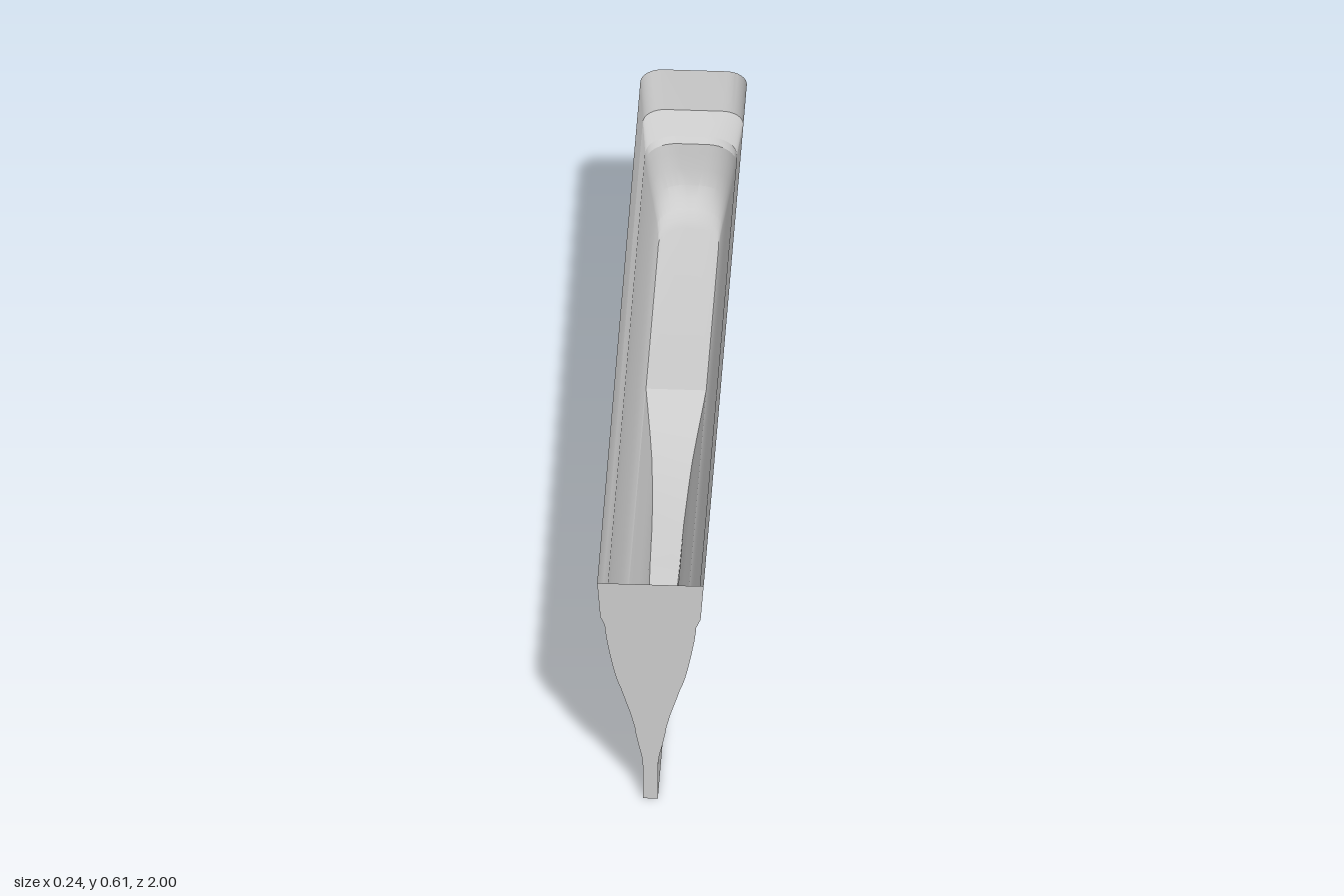
import * as THREE from 'three';
import { toCreasedNormals } from 'three/addons/utils/BufferGeometryUtils.js';

// Levels from keel to rim: [height, half width, rear end z, rear corner radius]
const LEVELS = [
  [0, 0.017, 0.64, 0], [0.02, 0.017, 0.655, 0], [0.05, 0.017, 0.67, 0],
  [0.08, 0.017, 0.676, 0], [0.105, 0.018, 0.67, 0], [0.125, 0.021, 0.64, 0],
  [0.15, 0.027, 0.57, 0], [0.17, 0.031, 0.46, 0], [0.185, 0.034, 0.34, 0],
  [0.2, 0.036, 0.21, 0], [0.22, 0.041, 0.1, 0], [0.24, 0.046, 0.02, 0],
  [0.265, 0.054, -0.05, 0], [0.29, 0.062, -0.11, 0], [0.313, 0.069, -0.16, 0],
  [0.313, 0.069, -0.785, 0.06], [0.317, 0.071, -0.812, 0.065],
  [0.328, 0.075, -0.84, 0.068], [0.345, 0.08, -0.86, 0.07],
  [0.37, 0.086, -0.876, 0.07], [0.41, 0.094, -0.885, 0.07],
  [0.45, 0.101, -0.889, 0.07], [0.475, 0.104, -0.892, 0.07],
  [0.487, 0.105, -0.905, 0.07], [0.51, 0.115, -0.975, 0.05],
  [0.605, 0.122, -1, 0.05],
];
const ARC = 8;

// U-shaped outline of one level, running from the front left round the rear
function outline([y, w, rear, r]) {
  const right = [];
  for (let i = 0; i <= ARC; i++) {
    const a = (i / ARC) * Math.PI / 2;
    right.push([w - r + r * Math.cos(a), y, rear + r - r * Math.sin(a)]);
  }
  const half = [[w, y, 1], ...right];
  return [...half, ...half.map(([x, h, z]) => [-x, h, z]).reverse()];
}

// Skin between successive rows of points, skipping collapsed triangles
function loft(rows) {
  const pos = [];
  const tri = (...pts) => {
    const [a, b, c] = pts.map((p) => new THREE.Vector3(...p));
    const area = b.clone().sub(a).cross(c.clone().sub(a)).length();
    if (area > 1e-8) pts.forEach((p) => pos.push(...p));
  };
  for (let i = 0; i < rows.length - 1; i++) {
    for (let j = 0; j < rows[i].length - 1; j++) {
      const a = rows[i][j], b = rows[i][j + 1];
      const c = rows[i + 1][j + 1], d = rows[i + 1][j];
      tri(a, b, c);
      tri(a, c, d);
    }
  }
  const geo = new THREE.BufferGeometry();
  geo.setAttribute('position', new THREE.Float32BufferAttribute(pos, 3));
  return toCreasedNormals(geo, 0.35);
}

export function createModel() {
  const group = new THREE.Group();
  group.name = 'openTrough';
  const material = new THREE.MeshStandardMaterial({ color: 0xcccccc, side: THREE.DoubleSide });
  const add = (name, rows) => {
    const mesh = new THREE.Mesh(loft(rows), material);
    mesh.name = name;
    group.add(mesh);
  };

  // Open-topped shell with stepped rim, rounded rear and sloping floor
  add('shell', LEVELS.map(outline));

  // Flat wall closing the front
  add('frontWall', LEVELS.map(([y, w]) => [[-w, y, 1], [w, y, 1]]));

  // Narrow underside of the keel
  const [, keelW, keelRear] = LEVELS[0];
  add('keelBottom', [1, keelRear].map((z) => [[keelW, 0, z], [-keelW, 0, z]].reverse()));

  return group;
}
